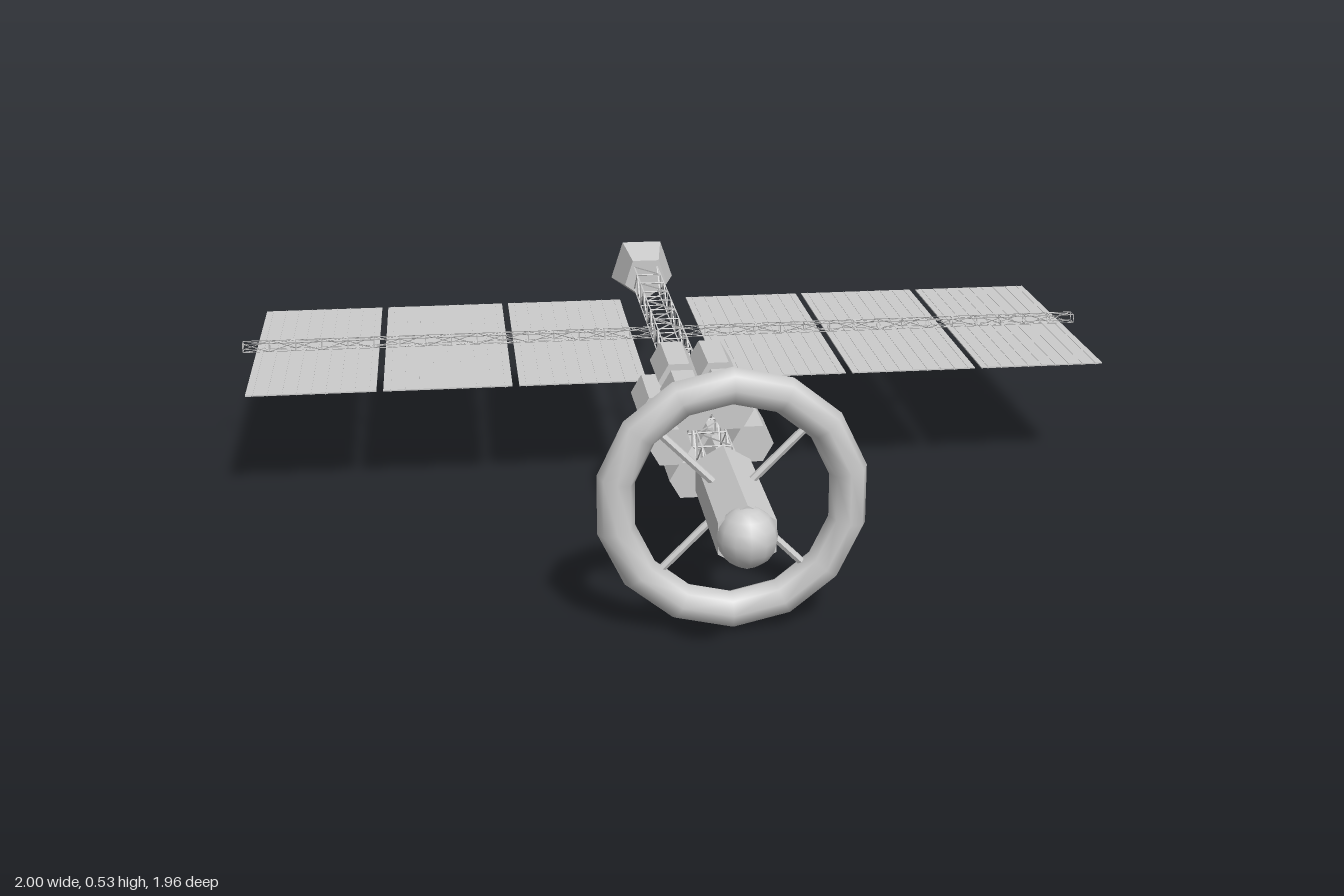
import * as THREE from 'three';
import { mergeGeometries } from 'three/addons/utils/BufferGeometryUtils.js';

const AXIS_Y = 0.265;
const flat = new THREE.MeshStandardMaterial({ color: 0xcccccc, flatShading: true });
const smooth = new THREE.MeshStandardMaterial({ color: 0xcccccc });

function add(parent, name, geometry, material = flat) {
  const mesh = new THREE.Mesh(geometry, material);
  mesh.name = name;
  parent.add(mesh);
  return mesh;
}

// Straight rod between two points
function rod(a, b, radius, sides = 3) {
  const from = new THREE.Vector3(...a), to = new THREE.Vector3(...b);
  const dir = to.clone().sub(from);
  const g = new THREE.CylinderGeometry(radius, radius, dir.length(), sides);
  const q = new THREE.Quaternion().setFromUnitVectors(new THREE.Vector3(0, 1, 0), dir.normalize());
  return g.applyQuaternion(q).translate(...from.add(to).multiplyScalar(0.5).toArray());
}

// Square lattice girder along z, with a frame and a diagonal on each side per bay
function lattice(z0, z1, halfW, halfH, bays, radius) {
  const corners = [[-halfW, -halfH], [halfW, -halfH], [halfW, halfH], [-halfW, halfH]];
  const parts = [];
  corners.forEach((c, i) => {
    const d = corners[(i + 1) % 4];
    parts.push(rod([...c, z0], [...c, z1], radius));
    for (let k = 0; k <= bays; k++) {
      const za = z0 + (z1 - z0) * k / bays;
      const zb = z0 + (z1 - z0) * (k + 1) / bays;
      parts.push(rod([...c, za], [...d, za], radius));
      if (k === bays) continue;
      parts.push(k % 2 ? rod([...c, za], [...d, zb], radius) : rod([...d, za], [...c, zb], radius));
    }
  });
  return mergeGeometries(parts);
}

// Cylinder along z, from zBack to zFront
function barrel(rBack, rFront, zBack, zFront, sides, turn = 0) {
  return new THREE.CylinderGeometry(rFront, rBack, zFront - zBack, sides)
    .rotateY(turn).rotateX(Math.PI / 2).translate(0, 0, (zBack + zFront) / 2);
}

export function createModel() {
  const model = new THREE.Group();
  model.name = 'spacecraft';
  const ship = new THREE.Group();
  ship.name = 'ship';
  ship.position.y = AXIS_Y;
  model.add(ship);

  // Command hub with a rounded nose
  add(ship, 'commandHub', barrel(0.062, 0.062, 0.61, 0.925, 6));
  add(ship, 'nose', new THREE.SphereGeometry(0.057, 12, 8).translate(0, 0, 0.922), smooth);

  // Rotating habitat ring on four diagonal spokes
  const habitat = new THREE.Group();
  habitat.name = 'habitatRing';
  habitat.position.z = 0.738;
  ship.add(habitat);
  add(habitat, 'ring', new THREE.TorusGeometry(0.227, 0.037, 8, 14).rotateZ(Math.PI / 14), smooth);
  for (let i = 0; i < 4; i++) {
    const a = Math.PI / 4 + i * Math.PI / 2;
    const c = Math.cos(a), s = Math.sin(a);
    add(habitat, 'spoke', rod([c * 0.04, s * 0.04, 0], [c * 0.215, s * 0.215, 0], 0.008, 6));
  }

  // Main spine
  add(ship, 'spine', lattice(-0.84, 0.61, 0.03, 0.03, 18, 0.0018));

  // Two clusters of six tanks around the spine
  for (const [zBack, zFront] of [[0.09, 0.243], [0.29, 0.445]]) {
    const cluster = new THREE.Group();
    cluster.name = 'tankCluster';
    ship.add(cluster);
    for (let i = 0; i < 6; i++) {
      const a = i * Math.PI / 3;
      const tank = add(cluster, 'tank', barrel(0.046, 0.044, zBack, zFront, 6, Math.PI / 2));
      tank.position.set(Math.cos(a) * 0.084, Math.sin(a) * 0.084, 0);
      tank.rotation.z = a;
    }
  }

  // Solar wings: three panels per side, with fine ribs and a lattice boom
  const zMid = -0.337, panelDepth = 0.655, panelWidth = 0.285, panelY = -0.008;
  for (const side of [-1, 1]) {
    const wing = new THREE.Group();
    wing.name = side > 0 ? 'leftWing' : 'rightWing';
    ship.add(wing);
    for (let p = 0; p < 3; p++) {
      const x = side * (0.227 + p * 0.3);
      const panel = new THREE.BoxGeometry(panelWidth, 0.003, panelDepth);
      add(wing, 'solarPanel', panel.translate(x, panelY, zMid));
      const ribs = [];
      for (let r = 0; r < 9; r++) {
        const rx = x + (r - 4) * panelWidth / 9;
        ribs.push(new THREE.BoxGeometry(0.0015, 0.005, panelDepth).translate(rx, panelY, zMid));
      }
      add(wing, 'panelRibs', mergeGeometries(ribs));
    }
    const boom = lattice(0.03, 1, 0.012, 0.01, 16, 0.0012);
    add(wing, 'boom', boom.rotateY(side * Math.PI / 2).translate(0, 0.004, zMid));
  }

  // Five-sided engine bell with a stepped-in end, one corner pointing down
  add(ship, 'engineBell', barrel(0.086, 0.058, -0.948, -0.838, 5));
  add(ship, 'engineEnd', barrel(0.062, 0.074, -0.985, -0.946, 5));

  return model;
}
